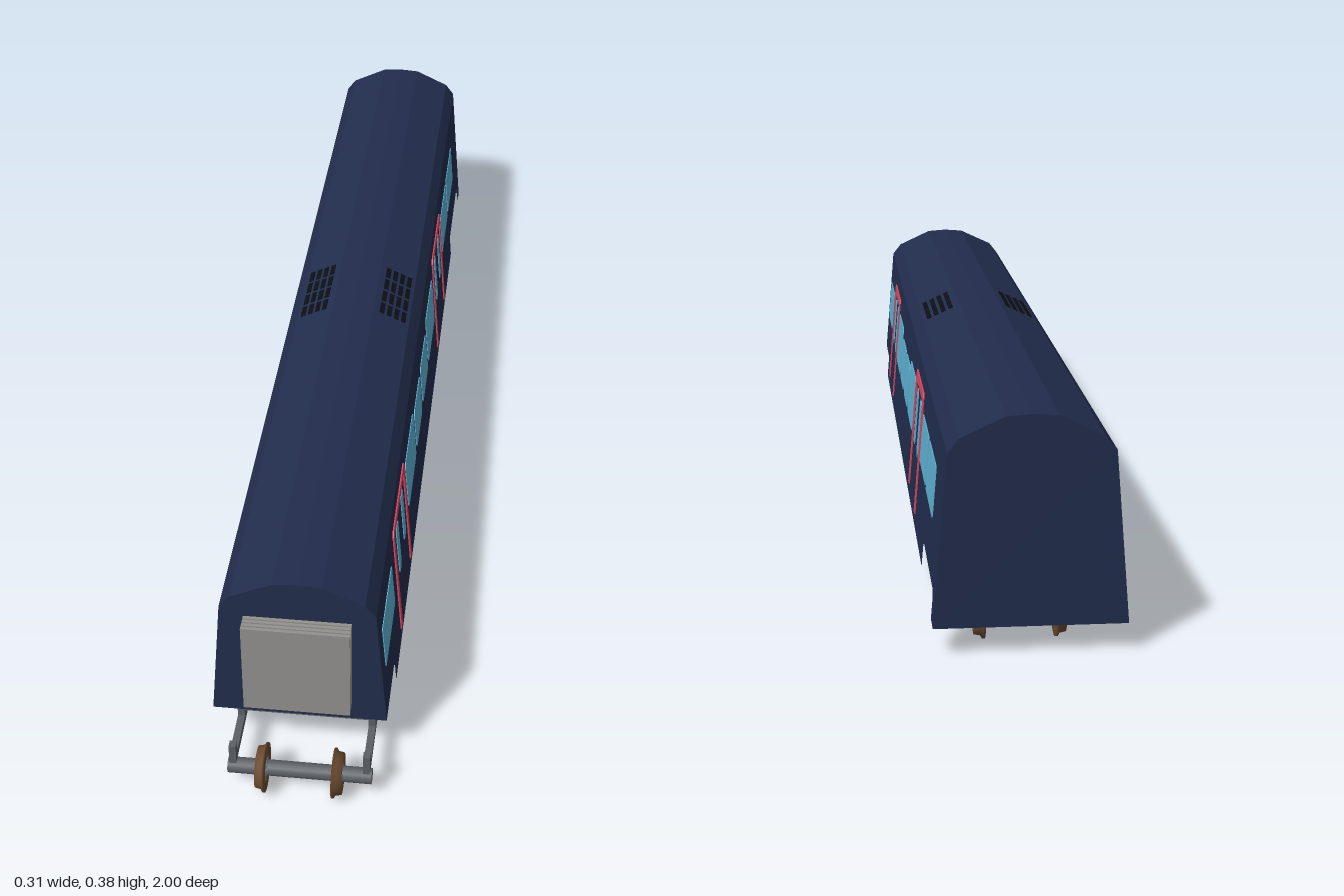
import * as THREE from 'three';

const FRONT = 0.878, BACK = -1;
const mat = (color, extra = {}) => new THREE.MeshStandardMaterial({ color, roughness: 0.8, ...extra });
const navy = mat(0x222d4d, { side: THREE.DoubleSide, flatShading: true });
const glass = mat(0x5fb2d3);
const red = mat(0xd9465f);
const black = mat(0x0c0f16);
const gangwayGrey = mat(0x92918e);
const steel = mat(0x5c6166);
const rust = mat(0x6b4a30);

// Half of the roof profile, from the top of the wall to the ridge
const ROOF = [[0.13, 0.325], [0.112, 0.348], [0.041, 0.381], [0, 0.384]];
// Half width of the inward leaning wall at height y
const wallX = (y) => 0.153 - (y - 0.045) * (0.023 / 0.28);

function add(parent, name, geometry, material, x = 0, y = 0, z = 0) {
  const mesh = new THREE.Mesh(geometry, material);
  mesh.name = name;
  mesh.position.set(x, y, z);
  parent.add(mesh);
  return mesh;
}

// Bends a flat shape drawn in (-side * z, y) onto a leaning wall
function onWall(shape, side, depth = 0) {
  const geo = depth
    ? new THREE.ExtrudeGeometry(shape, { depth, bevelEnabled: false, curveSegments: 4 })
    : new THREE.ShapeGeometry(shape);
  const p = geo.attributes.position;
  for (let i = 0; i < p.count; i++) {
    const u = p.getX(i), y = p.getY(i), d = p.getZ(i) - depth / 2;
    p.setXYZ(i, side * (wallX(y) + d), y, -side * u);
  }
  geo.computeVertexNormals();
  return geo;
}

const outline = (pts, side) => new THREE.Shape(pts.map(([z, y]) => new THREE.Vector2(-side * z, y)));

function roundedRect(z0, z1, y0, y1, side, r) {
  const a = Math.min(-side * z0, -side * z1), b = Math.max(-side * z0, -side * z1);
  const s = new THREE.Shape();
  s.moveTo(a + r, y0);
  s.lineTo(b - r, y0); s.quadraticCurveTo(b, y0, b, y0 + r);
  s.lineTo(b, y1 - r); s.quadraticCurveTo(b, y1, b - r, y1);
  s.lineTo(a + r, y1); s.quadraticCurveTo(a, y1, a, y1 - r);
  s.lineTo(a, y0 + r); s.quadraticCurveTo(a, y0, a + r, y0);
  return s;
}

// Side walls, windows and door frames
function buildSide(side) {
  const g = new THREE.Group();
  g.name = side > 0 ? 'leftSide' : 'rightSide';
  const wall = [[FRONT, 0.09], [0.745, 0.09], [0.735, 0.08], [0.735, 0.045], [-0.705, 0.045], [-0.705, 0.08],
    [-0.715, 0.09], [-0.945, 0.09], [-0.955, 0.08], [-0.955, 0.045], [BACK, 0.045], [BACK, 0.325], [FRONT, 0.325]];
  add(g, 'wall', onWall(outline(wall, side), side), navy);

  const windows = [
    [0.835, 0.675, 0.174, 0.26, 0.005], [0.40, 0.232, 0.16, 0.265, 0.015], [0.215, 0.086, 0.16, 0.248, 0.015],
    [0.067, -0.063, 0.16, 0.248, 0.015], [-0.08, -0.248, 0.16, 0.265, 0.015],
    [-0.50, -0.663, 0.174, 0.26, 0.005], [-0.68, -0.845, 0.174, 0.26, 0.005],
  ];
  for (const [z0, z1, y0, y1, r] of windows) {
    add(g, 'window', onWall(roundedRect(z0, z1, y0, y1, side, r), side, 0.003), glass);
  }
  for (const c of [0.525, -0.377]) {
    const frame = [[-0.105, 0.068], [-0.105, 0.283], [-0.096, 0.292], [0.096, 0.292], [0.105, 0.283], [0.105, 0.068],
      [0.088, 0.068], [0.088, 0.275], [-0.088, 0.275], [-0.088, 0.068]].map(([z, y]) => [z + c, y]);
    add(g, 'doorFrame', onWall(outline(frame, side), side, 0.005), red);
    for (const d of [-0.045, 0.045]) {
      const pane = roundedRect(c + d - 0.016, c + d + 0.016, 0.16, 0.265, side, 0.012);
      add(g, 'doorWindow', onWall(pane, side, 0.003), glass);
    }
  }
  return g;
}

// Flat end wall closing the body section, with an optional doorway
function endWall(bottom, doorway) {
  const half = [[wallX(bottom), bottom], ...ROOF];
  const pts = [...half, ...half.slice(0, -1).reverse().map(([x, y]) => [-x, y])];
  const s = new THREE.Shape(pts.map(([x, y]) => new THREE.Vector2(x, y)));
  if (doorway) {
    s.holes.push(new THREE.Path([[-0.085, 0.135], [-0.085, 0.303], [0.085, 0.303], [0.085, 0.135]]
      .map(([x, y]) => new THREE.Vector2(x, y))));
  }
  return new THREE.ShapeGeometry(s);
}

// Faceted roof running the whole length
function roofGeometry() {
  const pts = [...ROOF.map(([x, y]) => [-x, y]), ...ROOF.slice(0, -1).reverse()];
  const n = pts.length;
  const geo = new THREE.PlaneGeometry(1, 1, n - 1, 1);
  const p = geo.attributes.position;
  for (let i = 0; i < p.count; i++) {
    p.setXYZ(i, ...pts[i % n], i < n ? BACK : FRONT);
  }
  geo.computeVertexNormals();
  return geo;
}

// Slotted vents on the sloping part of the roof
function buildVents(side) {
  const g = new THREE.Group();
  g.name = 'roofVents';
  const [[x0, y0], [x1, y1]] = [ROOF[1], ROOF[2]];
  const slot = new THREE.BoxGeometry(0.0095, 0.003, 0.034);
  for (let i = 0; i < 4; i++) {
    for (let j = 0; j < 4; j++) {
      const t = 0.17 + i * 0.2;
      const m = add(g, 'ventSlot', slot, black, side * (x0 + (x1 - x0) * t), y0 + (y1 - y0) * t, 0.043 - j * 0.043);
      m.rotation.z = side * Math.atan2(y1 - y0, x1 - x0) + (side > 0 ? Math.PI : -Math.PI);
    }
  }
  return g;
}

// Two-axle bogie
function buildBogie(z) {
  const g = new THREE.Group();
  g.name = 'bogie';
  g.position.set(0.011, 0, z);
  const tire = new THREE.LatheGeometry([[0.025, 0.003], [0.025, 0], [0.042, 0], [0.042, 0.004], [0.037, 0.007], [0.035, 0.017],
    [0.027, 0.017], [0.025, 0.012], [0.025, 0.003]].map(([r, h]) => new THREE.Vector2(r, h)), 24);
  const disc = new THREE.CylinderGeometry(0.026, 0.026, 0.007, 24);
  const hub = new THREE.CylinderGeometry(0.017, 0.017, 0.018, 16);
  const axle = new THREE.CylinderGeometry(0.008, 0.008, 0.2, 12);
  const axleBox = new THREE.CylinderGeometry(0.0135, 0.0135, 0.244, 16);
  for (const az of [-0.0935, 0.0935]) {
    const set = new THREE.Group();
    set.name = 'wheelset';
    set.position.set(0, 0.042, az);
    g.add(set);
    add(set, 'axle', axleBox, steel).rotation.z = Math.PI / 2;
    add(set, 'innerAxle', axle, steel).rotation.z = Math.PI / 2;
    for (const s of [-1, 1]) {
      const wheel = new THREE.Group();
      wheel.name = 'wheel';
      wheel.position.x = s * 0.056;
      wheel.rotation.z = -s * Math.PI / 2;
      set.add(wheel);
      add(wheel, 'tire', tire, rust);
      add(wheel, 'disc', disc, rust, 0, 0.007, 0);
      add(wheel, 'hub', hub, steel, 0, 0.008, 0);
      add(g, 'post', new THREE.BoxGeometry(0.012, 0.042, 0.014), steel, s * 0.113, 0.071, az);
    }
  }
  for (const s of [-1, 1]) {
    add(g, 'sideBeam', new THREE.BoxGeometry(0.012, 0.016, 0.187), steel, s * 0.113, 0.062, 0);
    add(g, 'riser', new THREE.BoxGeometry(0.012, 0.03, 0.014), steel, s * 0.113, 0.077, 0);
  }
  add(g, 'crossBeam', new THREE.BoxGeometry(0.226, 0.007, 0.016), steel, 0, 0.088, 0);
  return g;
}

export function createModel() {
  const model = new THREE.Group();
  model.name = 'passengerCarriage';

  add(model, 'roof', roofGeometry(), navy);
  add(model, 'frontWall', endWall(0.09, true), navy, 0, 0, FRONT);
  add(model, 'backWall', endWall(0.045, false), navy, 0, 0, BACK).scale.z = -1;
  for (const side of [-1, 1]) model.add(buildSide(side), buildVents(side));

  // Ribbed gangway bellows on the front end
  const gangway = new THREE.Group();
  gangway.name = 'gangway';
  model.add(gangway);
  add(gangway, 'core', new THREE.BoxGeometry(0.171, 0.17, 0.036), gangwayGrey, 0, 0.219, 0.89);
  for (let i = 0; i < 4; i++) {
    add(gangway, 'rib', new THREE.BoxGeometry(0.18, 0.18, 0.006), gangwayGrey, 0, 0.219, 0.882 + i * 0.0085);
  }

  model.add(buildBogie(0.867), buildBogie(-0.83));
  return model;
}
